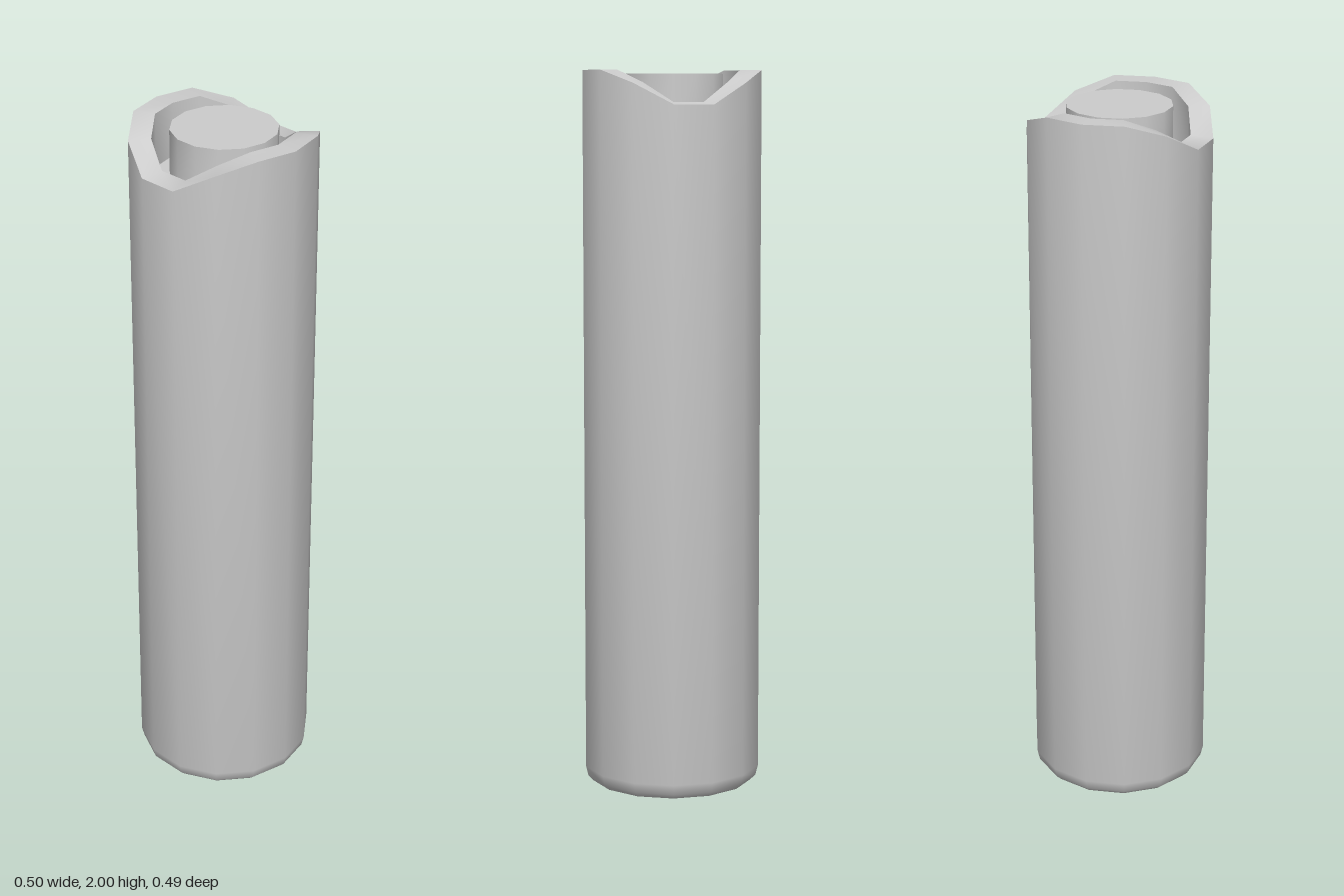
import * as THREE from 'three';
import { toCreasedNormals } from 'three/addons/utils/BufferGeometryUtils.js';

const SIDES = 14;
const FLOOR = 1.85;

// Height lost by the rim at each corner, counted from the x axis
const RIM_DROP = [0, 0, 0.035, 0.092];

export function createModel() {
  const group = new THREE.Group();
  const material = new THREE.MeshStandardMaterial({ color: 0xcccccc });

  const addPart = (name, geometry) => {
    const mesh = new THREE.Mesh(toCreasedNormals(geometry, 0.7), material);
    mesh.name = name;
    group.add(mesh);
    return mesh;
  };

  // Hollow-topped casing: rounded foot, outer wall, rim, inner wall, recess floor
  const profile = [
    [0, 0], [0.205, 0], [0.228, 0.007], [0.243, 0.022], [0.25, 0.05],
    [0.25, 2], [0.19, 2], [0.19, FLOOR], [0, FLOOR],
  ].map(([r, y]) => new THREE.Vector2(r, y));
  const casing = new THREE.LatheGeometry(profile, SIDES, Math.PI / 2);

  // Scoop the rim down at front and back
  const pos = casing.attributes.position;
  for (let i = 0; i < pos.count; i++) {
    if (pos.getY(i) < 1.99) continue;
    const angle = Math.atan2(Math.abs(pos.getZ(i)), Math.abs(pos.getX(i)));
    const corner = Math.round(angle / (2 * Math.PI / SIDES));
    const inner = Math.hypot(pos.getX(i), pos.getZ(i)) < 0.22;
    pos.setY(i, 2 - RIM_DROP[corner] * (inner ? 0.93 : 1));
  }
  addPart('casing', casing);

  // Round core standing in the recess
  const height = 1.99 - FLOOR;
  const core = new THREE.CylinderGeometry(0.143, 0.143, height, SIDES, 1, false, Math.PI / 2);
  addPart('core', core).position.y = FLOOR + height / 2;

  return group;
}
